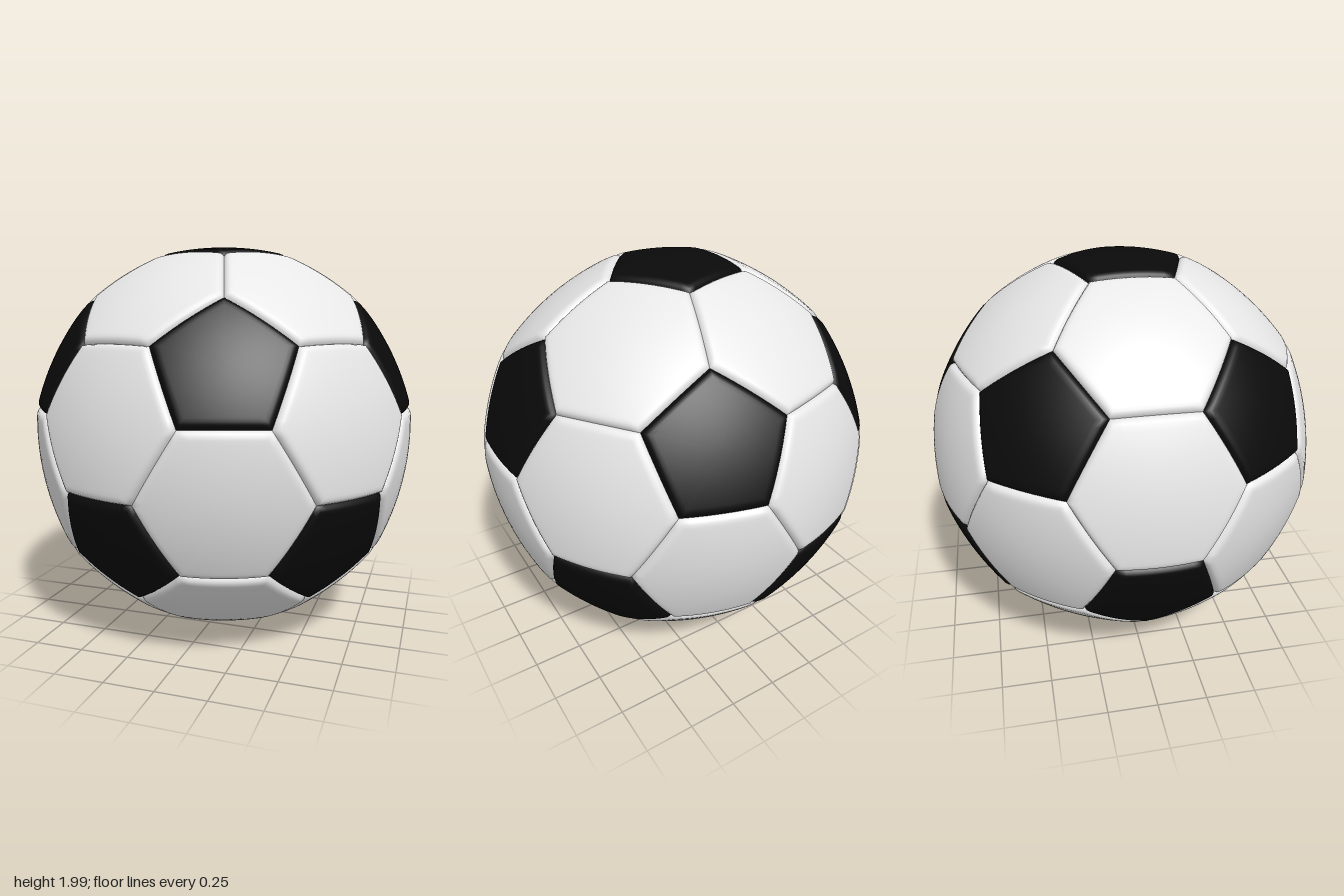
import * as THREE from 'three';

const R = 1.01;        // radius through the panel corners
const INFLATE = 0.72;  // 0 = flat panels, 1 = perfect sphere
const GROOVE = 0.026;  // seam depth
const BEVEL = 0.045;   // width of the rounded panel rim
const RINGS = 14, SEG = 10;

// Pull a point on a flat panel outwards, then round it down near the seam
function inflate(p, edgeDist) {
  const len = p.length();
  const k = Math.max(0, 1 - edgeDist / BEVEL);
  return p.multiplyScalar((len + (R - len) * INFLATE - GROOVE * k * k * k) / len);
}

// One padded panel made of concentric polygon rings around its centre
function panelGeometry(corners) {
  const n = corners.length;
  const centre = new THREE.Vector3();
  corners.forEach((c) => centre.addScaledVector(c, 1 / n));

  // order the corners anticlockwise as seen from outside
  const normal = centre.clone().normalize();
  const u = corners[0].clone().sub(centre).normalize();
  const v = normal.clone().cross(u);
  const angle = (c) => {
    const d = c.clone().sub(centre);
    return Math.atan2(d.dot(v), d.dot(u));
  };
  const loop = [...corners].sort((a, b) => angle(a) - angle(b));
  const inradius = loop[0].clone().add(loop[1]).multiplyScalar(0.5).distanceTo(centre);

  const count = n * SEG;
  const positions = [...inflate(centre.clone(), inradius).toArray()];
  const index = [];
  for (let r = 1; r <= RINGS; r++) {
    const t = 1 - (1 - r / RINGS) ** 2; // rings crowd towards the seam
    for (let i = 0; i < count; i++) {
      const side = Math.floor(i / SEG);
      const p = loop[side].clone().lerp(loop[(side + 1) % n], (i % SEG) / SEG);
      p.sub(centre).multiplyScalar(t).add(centre);
      positions.push(...inflate(p, inradius * (1 - t)).toArray());

      const next = (i + 1) % count;
      const outer = 1 + (r - 1) * count, inner = outer - count;
      if (r === 1) index.push(0, outer + i, outer + next);
      else {
        index.push(inner + i, outer + i, outer + next);
        index.push(inner + i, outer + next, inner + next);
      }
    }
  }
  const geometry = new THREE.BufferGeometry();
  geometry.setAttribute('position', new THREE.Float32BufferAttribute(positions, 3));
  geometry.setIndex(index);
  geometry.computeVertexNormals();
  return geometry;
}

export function createModel() {
  const white = new THREE.MeshStandardMaterial({ color: 0xe7e7e7 });
  white.name = 'white leather';
  const black = new THREE.MeshStandardMaterial({ color: 0x0a0a0a });
  black.name = 'black leather';

  // the twelve icosahedron directions: two poles and two staggered rings
  const dirs = [new THREE.Vector3(0, 1, 0), new THREE.Vector3(0, -1, 0)];
  const h = 1 / Math.sqrt(5);
  for (let i = 0; i < 5; i++) {
    for (const s of [1, -1]) {
      const a = (i * 2 + (s < 0 ? 1 : 0)) * Math.PI / 5;
      dirs.push(new THREE.Vector3(2 * h * Math.cos(a), s * h, 2 * h * Math.sin(a)));
    }
  }
  const near = (a, b) => a !== b && a.dot(b) > 0.4;
  const corner = (a, b) => a.clone().multiplyScalar(2).add(b).setLength(R);

  const ball = new THREE.Group();
  ball.name = 'ball';
  const pentagons = new THREE.Group();
  pentagons.name = 'pentagonPanels';
  const hexagons = new THREE.Group();
  hexagons.name = 'hexagonPanels';
  ball.add(pentagons, hexagons);

  const addPanel = (group, name, corners, material) => {
    const mesh = new THREE.Mesh(panelGeometry(corners), material);
    mesh.name = name + (group.children.length + 1);
    group.add(mesh);
  };

  // a black pentagon on every direction
  for (const a of dirs) {
    addPanel(pentagons, 'pentagon', dirs.filter((b) => near(a, b)).map((b) => corner(a, b)), black);
  }

  // a white hexagon between every three neighbouring pentagons
  dirs.forEach((a, i) => dirs.forEach((b, j) => dirs.forEach((c, k) => {
    if (i < j && j < k && near(a, b) && near(b, c) && near(a, c)) {
      const pairs = [[a, b], [b, a], [b, c], [c, b], [c, a], [a, c]];
      addPanel(hexagons, 'hexagon', pairs.map(([p, q]) => corner(p, q)), white);
    }
  })));

  // rest the bottom panel on the ground
  ball.position.y = -new THREE.Box3().setFromObject(ball).min.y;
  const model = new THREE.Group();
  model.name = 'football';
  model.add(ball);
  return model;
}
